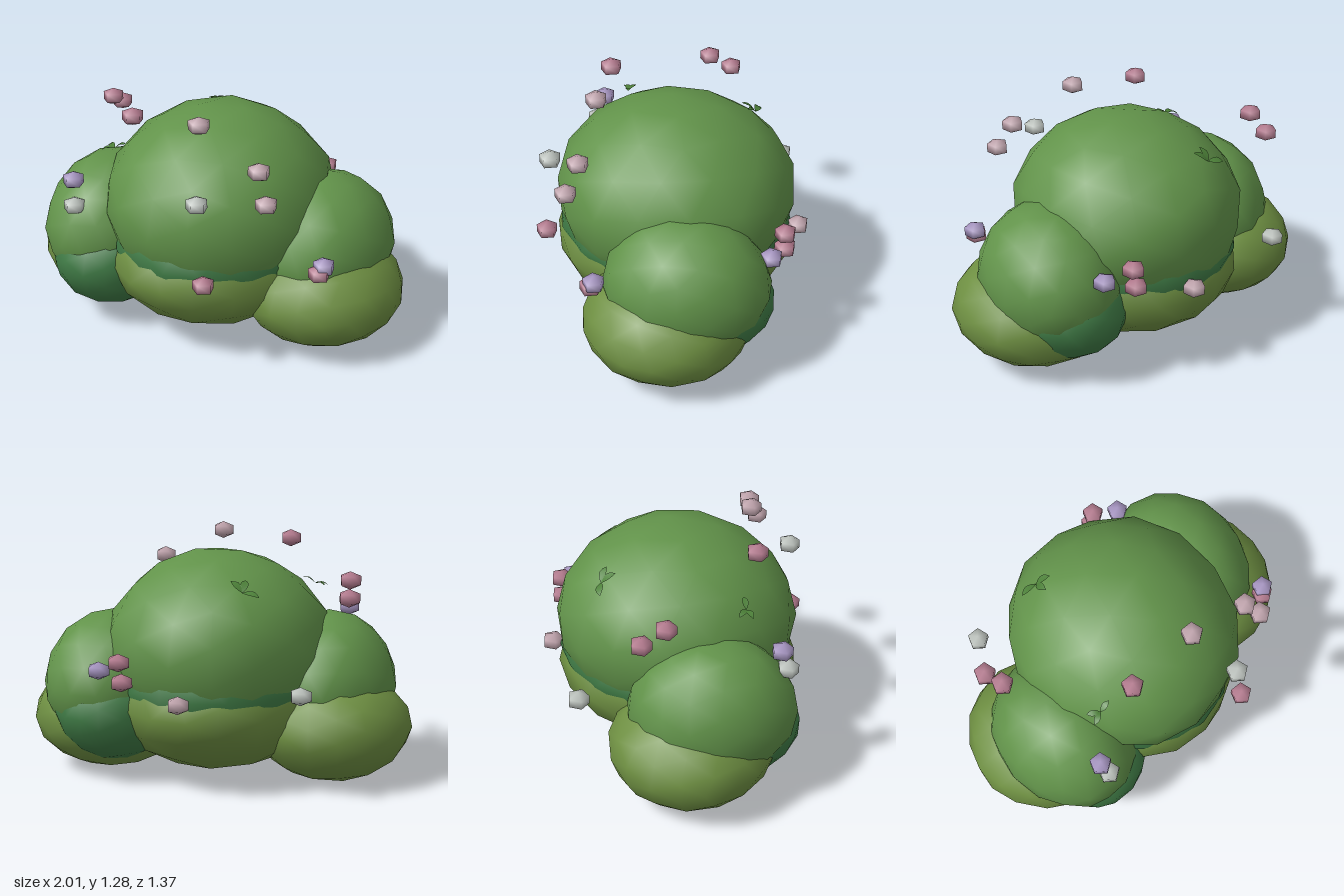
import * as THREE from 'three';
import { mergeVertices } from 'three/addons/utils/BufferGeometryUtils.js';

const paint = (color, side = THREE.FrontSide) => new THREE.MeshStandardMaterial({ color, side });
const crownGreen = paint(0x62934a);
const baseGreen = paint(0x6e8f42);
const shadeGreen = paint(0x3f7a45);
const leafGreen = paint(0x4c8038, THREE.DoubleSide);
const petals = { white: paint(0xbcc2bd), blush: paint(0xbfa3ac), rose: paint(0xb47b8f), lilac: paint(0xa594c0) };

// Soft low-poly blob: a slightly uneven ellipsoid with a flattened underside
function blob(name, material, [x, y, z], [rx, ry, rz], floor, seed) {
  let geo = new THREE.IcosahedronGeometry(1, 2);
  geo.deleteAttribute('normal');
  geo.deleteAttribute('uv');
  geo = mergeVertices(geo, 1e-3);
  geo.rotateY(seed);
  const pos = geo.attributes.position;
  const v = new THREE.Vector3();
  for (let i = 0; i < pos.count; i++) {
    v.fromBufferAttribute(pos, i);
    const k = 1.01 + 0.012 * Math.sin(5 * v.x + seed) * Math.cos(4 * v.z - seed) + 0.008 * Math.sin(6 * v.y + seed);
    pos.setXYZ(i, x + v.x * rx * k, Math.max(floor, y + v.y * ry * k), z + v.z * rz * k);
  }
  geo.computeVertexNormals();
  const mesh = new THREE.Mesh(geo, material);
  mesh.name = name;
  return mesh;
}

// Small pointed leaf lying along +x, bent upwards at the middle
function leafGeometry(length, width) {
  const shape = new THREE.Shape();
  shape.moveTo(0, 0);
  shape.quadraticCurveTo(length * 0.5, width, length, 0);
  shape.quadraticCurveTo(length * 0.5, -width, 0, 0);
  const geo = new THREE.ShapeGeometry(shape, 5).rotateX(-Math.PI / 2);
  const pos = geo.attributes.position;
  for (let i = 0; i < pos.count; i++) {
    pos.setY(i, 0.02 * Math.sin((pos.getX(i) / length) * Math.PI * 0.8));
  }
  geo.computeVertexNormals();
  return geo;
}

// Cluster of three leaves standing on the surface
function sprig(name, position, normal, angles, length) {
  const group = new THREE.Group();
  group.name = name;
  const geo = leafGeometry(length, length * 0.45);
  angles.forEach((angle) => {
    const leaf = new THREE.Mesh(geo, leafGreen);
    leaf.name = 'leaf';
    leaf.rotation.y = angle;
    group.add(leaf);
  });
  group.position.set(...position);
  group.quaternion.setFromUnitVectors(new THREE.Vector3(0, 1, 0), new THREE.Vector3(...normal).normalize());
  return group;
}

export function createModel() {
  const model = new THREE.Group();
  model.name = 'floweringBush';

  // Foliage: three clumps, each a crown over a darker inner mass and a lighter base
  model.add(
    blob('mainCrown', crownGreen, [0.005, 0.67, 0.015], [0.585, 0.51, 0.62], 0.1, 0.3),
    blob('mainShade', shadeGreen, [0.0, 0.5, 0.02], [0.545, 0.36, 0.6], 0.1, 2.2),
    blob('mainBase', baseGreen, [0.0, 0.4, 0.025], [0.55, 0.36, 0.62], 0.07, 1.1),
    blob('rightCrown', crownGreen, [-0.55, 0.475, 0.19], [0.345, 0.375, 0.42], 0.08, 2.0),
    blob('rightShade', shadeGreen, [-0.49, 0.345, 0.27], [0.31, 0.275, 0.365], 0.07, 0.5),
    blob('rightBase', baseGreen, [-0.595, 0.285, 0.08], [0.405, 0.285, 0.415], 0, 0.7),
    blob('leftCrown', crownGreen, [0.535, 0.485, -0.14], [0.35, 0.365, 0.42], 0.1, 1.6),
    blob('leftShade', shadeGreen, [0.49, 0.36, -0.21], [0.31, 0.275, 0.365], 0.07, 0.9),
    blob('leftBase', baseGreen, [0.585, 0.285, -0.05], [0.415, 0.285, 0.43], 0, 2.6),
  );

  // Flower buds: squat five-sided beads around the foliage
  const budGeo = new THREE.SphereGeometry(0.063, 5, 3).rotateY(Math.PI / 10).scale(1, 0.73, 1);
  const buds = [
    ['rose', -0.71, 1.06, -0.045], ['rose', -0.735, 0.99, -0.16],
    ['rose', -0.265, 1.2, 0.405], ['blush', 0.115, 1.23, 0.395],
    ['blush', 0.46, 1.075, 0.41], ['blush', 0.53, 0.94, 0.46],
    ['white', 0.24, 0.93, 0.615], ['lilac', -0.565, 0.825, 0.52],
    ['white', -0.54, 0.7, 0.555], ['rose', 0.29, 0.52, 0.64],
    ['lilac', 0.755, 0.59, 0.28], ['rose', 0.74, 0.555, 0.3],
    ['rose', 0.31, 0.68, -0.6], ['rose', 0.295, 0.58, -0.6],
    ['lilac', 0.44, 0.62, -0.55], ['blush', -0.015, 0.5, -0.635],
    ['white', -0.585, 0.555, -0.475],
  ];
  for (const [tone, x, y, z] of buds) {
    const bud = new THREE.Mesh(budGeo, petals[tone]);
    bud.name = 'flowerBud';
    bud.position.set(x, y, z);
    model.add(bud);
  }

  // Loose leaf sprigs on the main crown
  model.add(
    sprig('backSprig', [-0.25, 1.02, -0.36], [-0.3, 0.85, -0.4], [3.1, 4.9, 5.8], 0.09),
    sprig('frontSprig', [-0.42, 0.97, 0.35], [-0.3, 0.95, 0.1], [0.2, 2.6, 3.6], 0.07),
  );
  return model;
}
